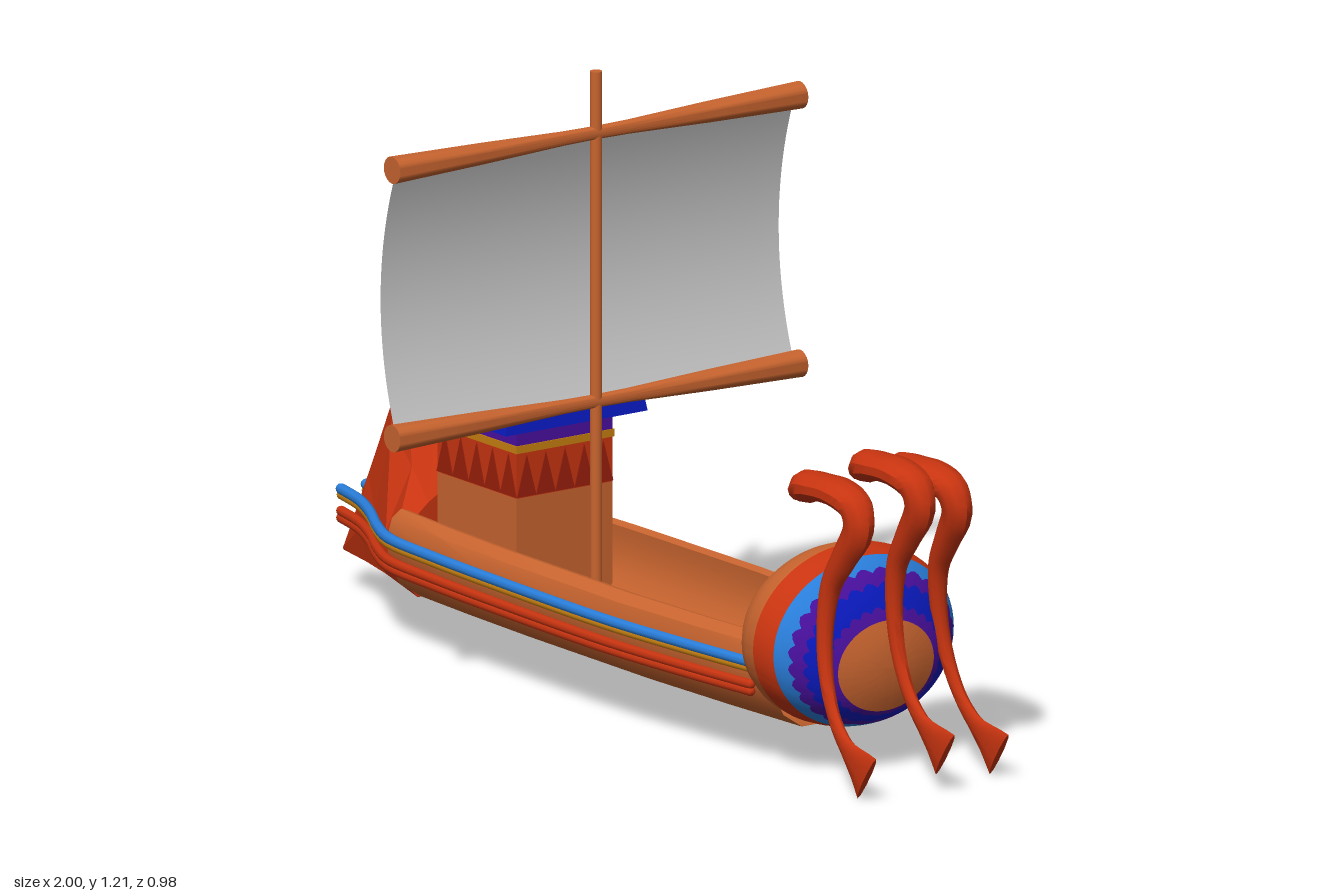
import * as THREE from 'three';
import { toCreasedNormals } from 'three/addons/utils/BufferGeometryUtils.js';

const mat = (color, flatShading = false) =>
  new THREE.MeshStandardMaterial({ color, flatShading, side: THREE.DoubleSide });
const WOOD = mat(0xc8642f), RED = mat(0xc83410), RED_FLAT = mat(0xc83410, true), DARK_RED = mat(0x9a1f0a);
const BLUE = mat(0x0a1ac0), SKY = mat(0x2a7fdc), PURPLE = mat(0x4a10a0), GOLD = mat(0xc88010), CLOTH = mat(0xcccccc);

function add(parent, name, geometry, material, x = 0, y = 0, z = 0) {
  const mesh = new THREE.Mesh(geometry, material);
  mesh.name = name;
  mesh.position.set(x, y, z);
  parent.add(mesh);
  return mesh;
}

// Skin closed rings of [x, y, z] points, with optional end caps.
function loft(rings, caps = true, crease = 0.7) {
  const n = rings[0].length, last = (rings.length - 1) * n, index = [];
  for (let i = 0; i < rings.length - 1; i++)
    for (let j = 0; j < n; j++) {
      const a = i * n + j, b = i * n + (j + 1) % n;
      index.push(a, b, a + n, b, b + n, a + n);
    }
  const points = rings.flat();
  if (caps) {
    for (const [start, flip] of [[0, true], [last, false]]) {
      const mid = [0, 1, 2].map(k => rings[start / n].reduce((s, p) => s + p[k], 0) / n);
      const c = points.push(mid) - 1;
      for (let j = 0; j < n; j++) {
        const a = start + j, b = start + (j + 1) % n;
        index.push(c, flip ? b : a, flip ? a : b);
      }
    }
  }
  const g = new THREE.BufferGeometry();
  g.setAttribute('position', new THREE.Float32BufferAttribute(points.flat(), 3));
  g.setIndex(index);
  return toCreasedNormals(g, crease);
}

// Closed section from its +z half.
const mirrorSection = (x, half) => [
  ...half.map(([z, y]) => [x, y, z]),
  ...half.slice().reverse().map(([z, y]) => [x, y, -z]),
];

// Open hull: outer skin, rounded gunwale and hollow inside
function hull(g) {
  const widths = [[-0.63, 0.17], [-0.45, 0.186], [-0.25, 0.197], [0.15, 0.202], [0.4, 0.187], [0.62, 0.165]];
  const half = [[0.002, 0.08], [0.55, 0.08], [0.82, 0.11], [0.97, 0.16], [1, 0.205], [0.93, 0.245], [0.8, 0.26],
    [0.71, 0.255], [0.72, 0.225], [0.68, 0.17], [0.5, 0.125], [0.002, 0.105]];
  // Outer skin and inner skin run as one loop per side
  const rings = s => widths.map(([x, w]) => half.map(([z, y]) => [x, y, s * z * w]));
  for (const s of [1, -1]) add(g, s > 0 ? 'hullLeft' : 'hullRight', loft(rings(s), false), WOOD);
}

// Stern: peaked fin narrowing to a point
function stern(g) {
  const rows = [[-1, 0.004, 0.09], [-0.9, 0.036, 0.29], [-0.8, 0.078, 0.5], [-0.7, 0.13, 0.395], [-0.62, 0.172, 0.31]];
  const rings = rows.map(([x, w, top]) => {
    const side = Math.min(0.2, top - 0.005);
    return mirrorSection(x, [[0.001, 0.08], [0.6 * w, 0.08], [w, Math.min(0.15, side)], [0.93 * w, side],
      [0.45 * w, side + (top - side) * 0.6], [0.001, top]]);
  });
  add(g, 'sternFin', loft(rings), RED_FLAT);
}

// Rails along both sides
function rails(g) {
  const plan = [[-0.97, 0.03], [-0.88, 0.052], [-0.79, 0.092], [-0.7, 0.142], [-0.61, 0.18], [-0.45, 0.195],
    [-0.25, 0.204], [0.15, 0.21], [0.4, 0.194], [0.57, 0.178]];
  const kinds = [['blueRail', SKY, 0.212, 0.011], ['goldRail', GOLD, 0.2, 0.009],
    ['redRailUpper', RED, 0.168, 0.01], ['redRailLower', RED, 0.154, 0.01]];
  for (const s of [1, -1])
    for (const [name, m, y, r] of kinds) {
      const pts = plan.map(([x, z]) => new THREE.Vector3(x, y, s * z));
      const curve = new THREE.CatmullRomCurve3(pts);
      add(g, name, new THREE.TubeGeometry(curve, 48, r, 8), m);
      for (const p of [pts[0], pts[pts.length - 1]])
        add(g, name + 'End', new THREE.SphereGeometry(r, 8, 6), m, p.x, p.y, p.z);
    }
}

// Rounded bow shield with painted scalloped bands
function bow(g) {
  const N = 112;
  const ring = (s, depth) => Array.from({ length: N }, (_, j) => {
    const a = j / N * Math.PI * 2, r = Math.max(0.001, typeof s === 'function' ? s(a) : s);
    const drop = depth > 0 ? Math.min(0.04, 0.08 * (1 - r)) : 0;
    return [0.65 + depth * Math.sqrt(Math.max(0, 1 - r * r)), 0.26 - drop + 0.18 * r * Math.sin(a), 0.23 * r * Math.cos(a)];
  });
  const scallop = (base, size) => a => base + size * Math.abs(Math.sin(14 * a));
  const edges = [1, 0.94, scallop(0.83, 0.035), scallop(0.73, 0.04), scallop(0.57, 0.035), 0.5, 0];
  const bands = [['shieldRedBand', RED], ['shieldSkyBand', SKY], ['shieldPurpleBand', PURPLE],
    ['shieldBlueBand', BLUE], ['shieldInnerBand', PURPLE], ['shieldBoss', WOOD]];
  const at = (e, a) => typeof e === 'function' ? e(a) : e;
  bands.forEach(([name, m], i) => {
    const rings = [0, 0.25, 0.5, 0.75, 1].map(t =>
      ring(a => at(edges[i], a) * (1 - t) + at(edges[i + 1], a) * t, 0.14));
    add(g, name, loft(rings, false, 1), m);
  });
  const back = [0, 1, 2, 3, 4, 5, 6, 7, 8].map(i => ring(Math.cos(i / 8 * Math.PI / 2), -0.16));
  add(g, 'shieldBack', loft(back, false, 1), WOOD);
}

// Curved figurehead: hooked head, slim neck and flared tail. Rows: x, y, thickness, half width
function figurehead(g, name, dx, dy, z, splay) {
  const rows = [[0.638, 0.56, 0.02, 0.022], [0.67, 0.575, 0.033, 0.038], [0.72, 0.583, 0.027, 0.044],
    [0.78, 0.583, 0.028, 0.042], [0.83, 0.565, 0.032, 0.035], [0.842, 0.525, 0.034, 0.029],
    [0.805, 0.463, 0.028, 0.024], [0.768, 0.4, 0.022, 0.021], [0.758, 0.32, 0.018, 0.018],
    [0.77, 0.23, 0.016, 0.015], [0.805, 0.15, 0.015, 0.012], [0.85, 0.1, 0.02, 0.01], [0.925, 0.05, 0.055, 0.007]];
  const path = new THREE.CatmullRomCurve3(rows.map(([x, y]) => new THREE.Vector3(x + dx, y + dy, 0)));
  const size = new THREE.CatmullRomCurve3(rows.map(r => new THREE.Vector3(r[2], r[3], 0)));
  const rings = [];
  for (let i = 0; i <= 48; i++) {
    const p = path.getPoint(i / 48), d = path.getTangent(i / 48), s = size.getPoint(i / 48);
    const cz = z + splay * Math.max(0, 0.6 - p.y) * 0.085;
    rings.push(Array.from({ length: 10 }, (_, j) => {
      const a = j / 10 * Math.PI * 2, u = s.x * Math.cos(a);
      return [p.x - d.y * u, p.y + d.x * u, cz + s.y * Math.sin(a)];
    }));
  }
  add(g, name, loft(rings), RED);
}

// Deck cabin with painted bands and an overhanging roof
function cabin(g) {
  const block = (name, m, y0, y1, w, d) =>
    add(g, name, new THREE.BoxGeometry(w, y1 - y0, d), m, -0.41, (y0 + y1) / 2, 0);
  block('cabinWalls', WOOD, 0.11, 0.35, 0.26, 0.23);
  block('cabinRedBand', RED, 0.35, 0.44, 0.26, 0.23);
  block('cabinGoldBand', GOLD, 0.44, 0.455, 0.265, 0.235);
  block('cabinPurpleBand', PURPLE, 0.455, 0.49, 0.26, 0.23);
  block('roofEave', BLUE, 0.485, 0.497, 0.3, 0.29);
  const taper = new THREE.CylinderGeometry(0.97, 1, 1, 4).rotateY(Math.PI / 4).scale(0.34 / Math.SQRT2, 0.033, 0.34 / Math.SQRT2);
  add(g, 'roof', toCreasedNormals(taper, 0.5), BLUE, -0.41, 0.508, 0);
  // Zigzag on all four walls
  for (let k = 0; k < 4; k++) {
    const w = k % 2 ? 0.23 : 0.26, out = k % 2 ? 0.13 : 0.115, teeth = 5;
    const shape = new THREE.Shape().moveTo(-w / 2, 0.352);
    for (let i = 0; i < teeth; i++) {
      shape.lineTo(-w / 2 + w * (i + 0.5) / teeth, 0.435);
      shape.lineTo(-w / 2 + w * (i + 1) / teeth, 0.352);
    }
    const geo = new THREE.ExtrudeGeometry(shape, { depth: 0.002, bevelEnabled: false });
    geo.translate(0, 0, out).rotateY(k * Math.PI / 2);
    add(g, 'cabinZigzag', geo, DARK_RED, -0.41, 0, 0);
  }
}

// Mast, two yards and a bellied sail
function rig(g) {
  const x = -0.177;
  add(g, 'mast', new THREE.CylinderGeometry(0.012, 0.012, 1.1, 16), WOOD, x, 0.66, 0);
  const profile = [[0, -0.49], [0.027, -0.49], [0.021, -0.27], [0.014, -0.08], [0.013, 0],
    [0.014, 0.08], [0.021, 0.27], [0.027, 0.49], [0, 0.49]].map(p => new THREE.Vector2(...p));
  const yard = toCreasedNormals(new THREE.LatheGeometry(profile, 20).rotateX(Math.PI / 2), 0.7);
  for (const [name, y] of [['upperYard', 1.087], ['lowerYard', 0.55]]) add(g, name, yard, WOOD, x, y, 0);
  const sail = new THREE.PlaneGeometry(0.956, 0.53, 16, 20).rotateY(Math.PI / 2);
  const p = sail.attributes.position;
  for (let i = 0; i < p.count; i++) p.setX(i, -0.05 * (1 - (p.getY(i) / 0.265) ** 2));
  sail.computeVertexNormals();
  add(g, 'sail', sail, CLOTH, x - 0.004, 0.816, 0);
}

export function createModel() {
  const g = new THREE.Group();
  g.name = 'sailingBarge';
  for (const build of [hull, stern, rails, bow, cabin, rig]) build(g);
  figurehead(g, 'middleFigurehead', 0.04, 0.032, 0, 0);
  for (const s of [1, -1]) figurehead(g, s > 0 ? 'leftFigurehead' : 'rightFigurehead', 0, 0, s * 0.112, s);
  return g;
}
